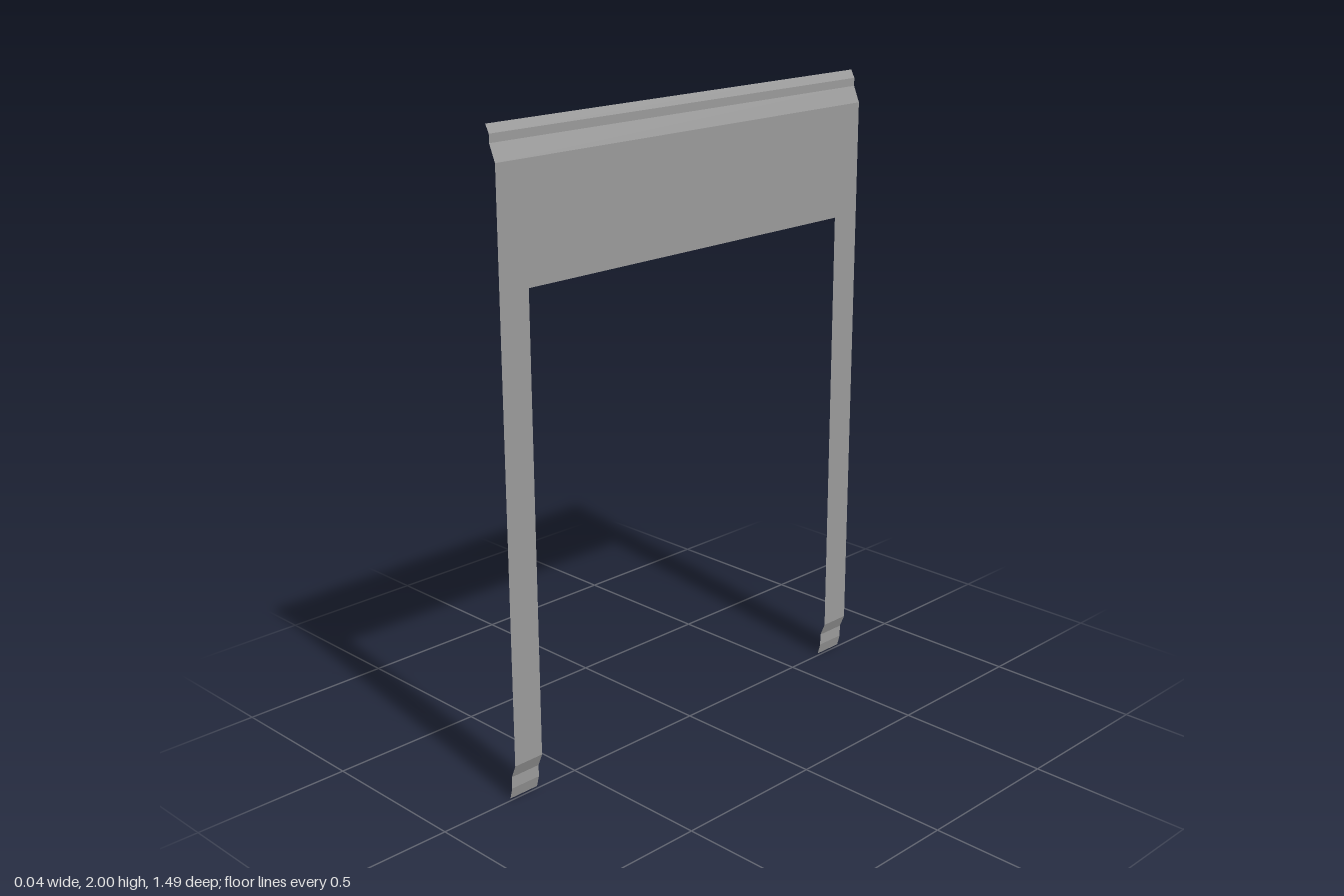
import * as THREE from 'three';

const HALF = 0.747, INNER = 0.643, RAIL = 1.543, FACE = 0.0175;

const material = new THREE.MeshStandardMaterial({
  color: 0x9a9a9a, flatShading: true, side: THREE.DoubleSide,
});

// Sheet that sweeps an [x, y] profile (bottom to top) from z0 to z1, facing +x
function sheet(name, profile, z0, z1) {
  const positions = [];
  for (let i = 0; i + 1 < profile.length; i++) {
    const [xa, ya] = profile[i], [xb, yb] = profile[i + 1];
    positions.push(
      xa, ya, z1, xa, ya, z0, xb, yb, z0,
      xa, ya, z1, xb, yb, z0, xb, yb, z1,
    );
  }
  const geometry = new THREE.BufferGeometry();
  geometry.setAttribute('position', new THREE.Float32BufferAttribute(positions, 3));
  geometry.computeVertexNormals();
  const mesh = new THREE.Mesh(geometry, material);
  mesh.name = name;
  return mesh;
}

export function createModel() {
  const group = new THREE.Group();
  group.name = 'bentSheetFrame';

  // Upper panel with its stepped, folded-back top lip
  const panel = [[FACE, RAIL], [FACE, 1.9], [-0.004, 1.95], [-0.004, 1.975], [-FACE, 2]];
  group.add(sheet('upperPanel', panel, -HALF, HALF));

  // Legs with crimped feet
  const leg = [[-0.01, 0], [0, 0.037], [0, 0.075], [FACE, 0.117], [FACE, RAIL]];
  group.add(sheet('frontLeg', leg, INNER, HALF));
  group.add(sheet('backLeg', leg, -HALF, -INNER));

  return group;
}
